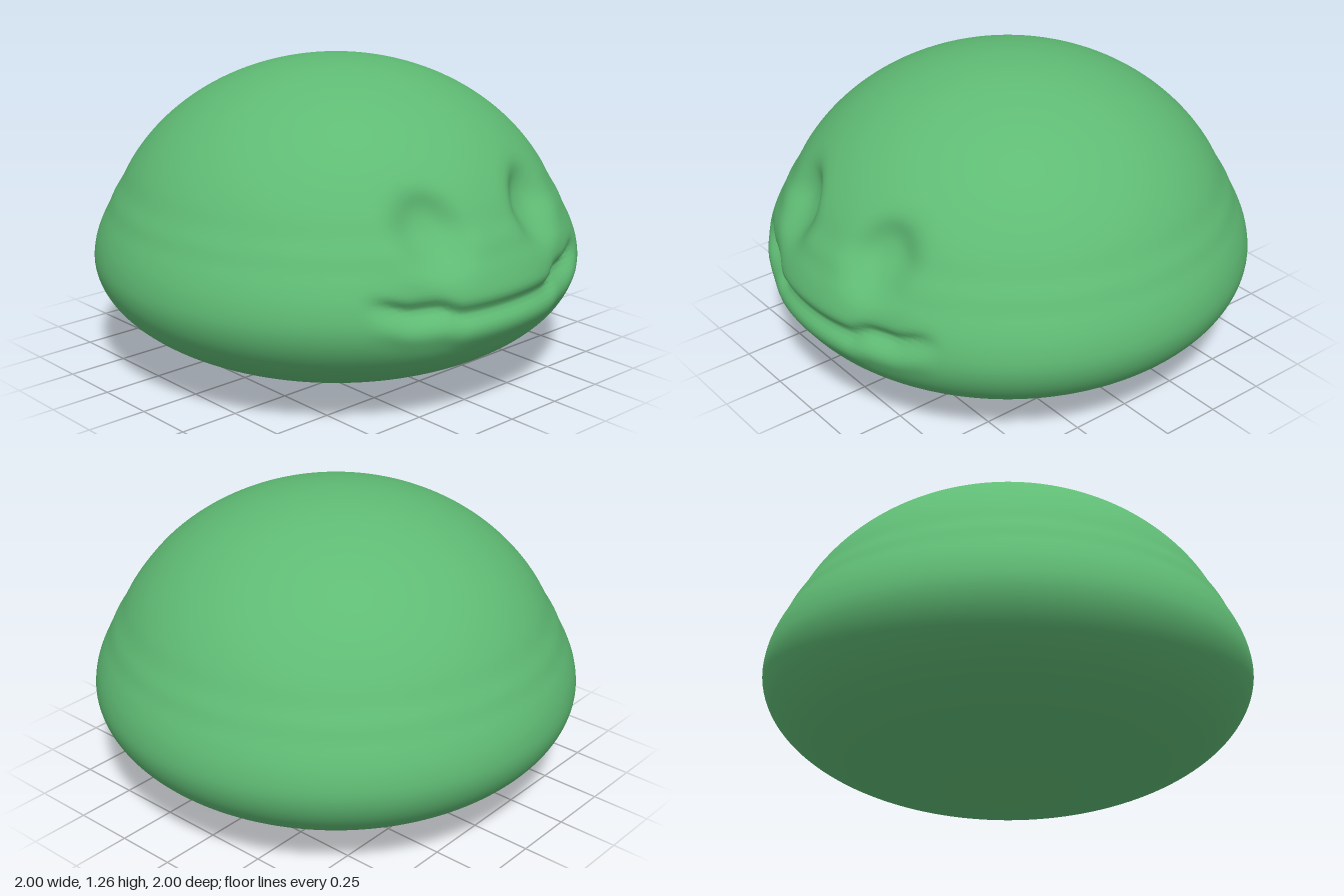
import * as THREE from 'three';
import { mergeVertices } from 'three/addons/utils/BufferGeometryUtils.js';

const bump = (dx, dy, w, h) => Math.exp(-((dx / w) ** 2) - (dy / h) ** 2);
const { smoothstep } = THREE.MathUtils;

// Side profile: shallow bowl, rounded rim, then a slightly narrower dome.
function bodyProfile() {
  const points = [];
  for (let i = 0; i <= 12; i++) {
    const a = (i / 12) * Math.PI / 2;
    points.push(new THREE.Vector2(Math.sin(a), 0.46 * (1 - Math.cos(a))));
  }
  for (const [r, y] of [[0.99, 0.53], [0.967, 0.595], [0.937, 0.655], [0.914, 0.705]]) {
    points.push(new THREE.Vector2(r, y));
  }
  for (let i = 0; i <= 12; i++) {
    const a = 0.384 + (i / 12) * (Math.PI / 2 - 0.384);
    points.push(new THREE.Vector2(0.95 * Math.cos(a), 0.46 + 0.8 * Math.sin(a)));
  }
  const profile = new THREE.SplineCurve(points).getSpacedPoints(150);
  profile[0].x = profile[150].x = 0;
  return profile;
}

// Inward depth of the pressed-in face at a point on the front.
function faceDepth(x, y) {
  const ax = Math.abs(x);
  // round eye sockets, steeper along the top
  const ex = ax - 0.28, ey = y - 0.76;
  const eye = 0.075 * Math.exp(-(((ex / 0.125) ** 2 + (ey / 0.125) ** 2) ** 1.5));
  // wide mouth with stepped, raised corners
  const line = 0.465 + 0.03 * smoothstep(ax, 0.23, 0.33) + 0.035 * smoothstep(ax, 0.42, 0.56);
  const fade = 1 - smoothstep(ax, 0.48, 0.61);
  const groove = 0.035 * fade * bump(0, y - line, 1, 0.032);
  const lip = 0.008 * fade * bump(0, y - line + 0.085, 1, 0.035);
  // gently flattened cheeks beside the mouth
  const cheek = 0.025 * bump(ax - 0.38, y - 0.5, 0.13, 0.1);
  return eye + groove + cheek - lip;
}

export function createModel() {
  const green = new THREE.MeshStandardMaterial({ color: 0x5fbb74 });
  green.name = 'green';

  const lathe = new THREE.LatheGeometry(bodyProfile(), 256, Math.PI);
  lathe.deleteAttribute('uv');
  lathe.deleteAttribute('normal');
  const geometry = mergeVertices(lathe, 1e-5);

  // Press the face into the front half
  const pos = geometry.attributes.position;
  for (let i = 0; i < pos.count; i++) {
    const x = pos.getX(i), y = pos.getY(i), z = pos.getZ(i);
    if (z <= 0.1) continue;
    const r = Math.hypot(x, z);
    const k = 1 - faceDepth(x, y) * smoothstep(z, 0.3, 0.6) / r;
    pos.setXYZ(i, x * k, y, z * k);
  }
  geometry.computeVertexNormals();

  const body = new THREE.Mesh(geometry, green);
  body.name = 'body';
  const group = new THREE.Group();
  group.name = 'smilingDome';
  group.add(body);
  return group;
}
